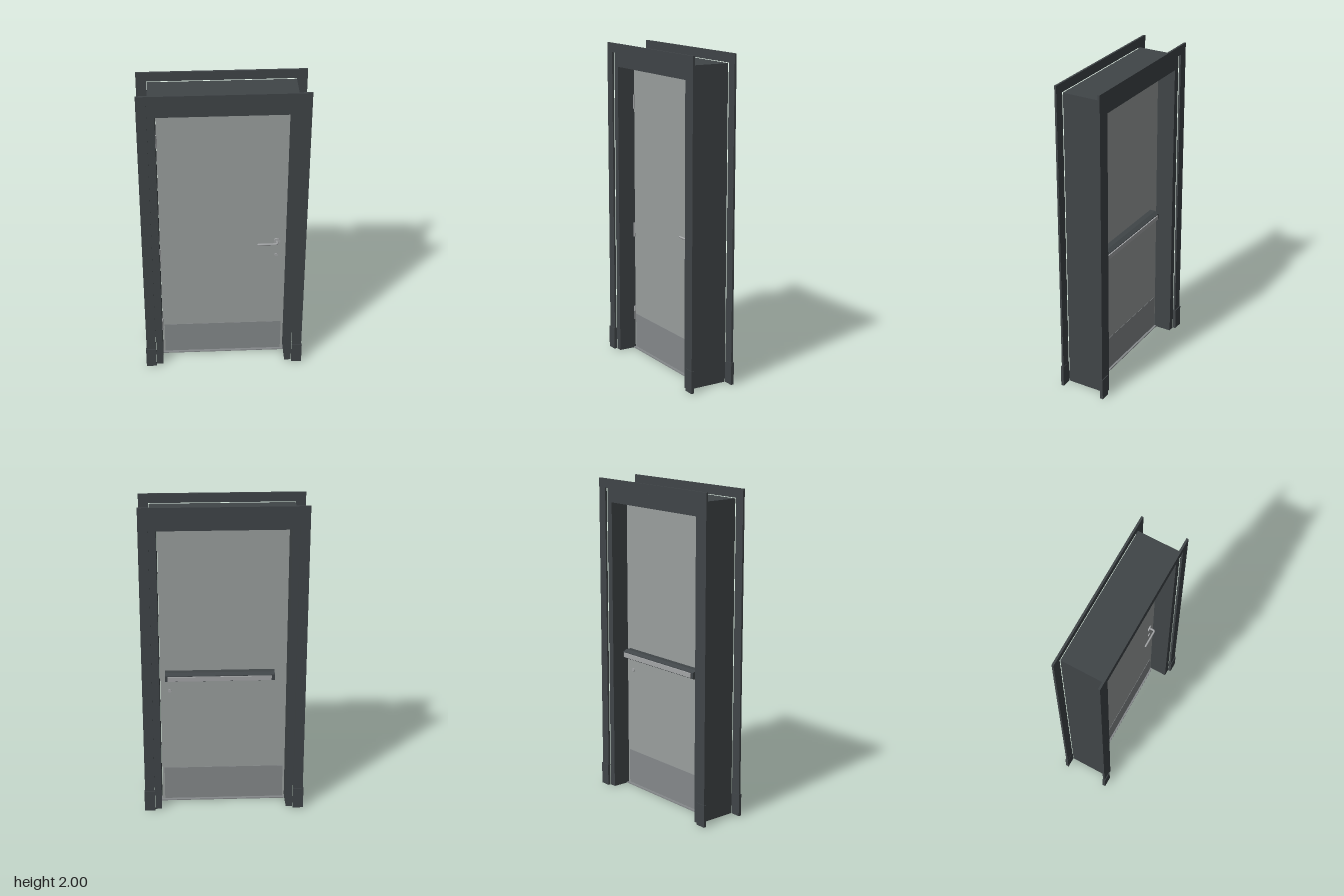
import * as THREE from 'three';

const paint = (color) => new THREE.MeshStandardMaterial({ color });

export function createModel() {
  const model = new THREE.Group();
  const dark = paint(0x404548);
  const panel = paint(0x9a9f9e);
  const plate = paint(0x85898b);
  const steel = paint(0xa4a6a8);

  const add = (name, geometry, material, x = 0, y = 0, z = 0, parent = model) => {
    const mesh = new THREE.Mesh(geometry, material);
    mesh.name = name;
    mesh.position.set(x, y, z);
    parent.add(mesh);
    return mesh;
  };
  const box = (name, material, x0, x1, y0, y1, z0, z1, parent) =>
    add(name, new THREE.BoxGeometry(x1 - x0, y1 - y0, z1 - z0), material,
      (x0 + x1) / 2, (y0 + y1) / 2, (z0 + z1) / 2, parent);
  // Disc or rod lying along z
  const disc = (name, radius, z0, z1, x, y, parent) => {
    const mesh = add(name, new THREE.CylinderGeometry(radius, radius, z1 - z0, 32), steel,
      x, y, (z0 + z1) / 2, parent);
    mesh.rotation.x = Math.PI / 2;
    return mesh;
  };
  // Upside-down U standing on the floor, extruded along z
  const portal = (name, outerX, outerTop, innerX, innerTop, z0, z1) => {
    const shape = new THREE.Shape([
      [-outerX, 0], [-innerX, 0], [-innerX, innerTop], [innerX, innerTop],
      [innerX, 0], [outerX, 0], [outerX, outerTop], [-outerX, outerTop],
    ].map(([x, y]) => new THREE.Vector2(x, y)));
    const geometry = new THREE.ExtrudeGeometry(shape, { depth: z1 - z0, bevelEnabled: false });
    return add(name, geometry, dark, 0, 0, z0);
  };

  // Deep jamb, with thin casings standing just clear of both faces
  portal('jamb', 0.437, 1.94, 0.395, 1.855, -0.132, 0.132);
  portal('frontCasing', 0.5, 2, 0.44, 1.943, 0.1345, 0.147);
  portal('backCasing', 0.5, 2, 0.44, 1.943, -0.147, -0.1345);

  // Plinth blocks at the foot of each casing
  for (const sx of [-1, 1]) {
    for (const sz of [-1, 1]) {
      add('plinthBlock', new THREE.BoxGeometry(0.065, 0.14, 0.019), dark,
        sx * 0.4715, 0.07, sz * 0.1425);
    }
  }

  // Threshold
  box('threshold', plate, -0.395, 0.395, 0, 0.006, -0.03, 0.03);

  // Door leaf with a kick plate on each side
  const door = new THREE.Group();
  door.name = 'door';
  model.add(door);
  const face = 0.018;
  box('leaf', panel, -0.392, 0.39, 0.01, 1.848, -face, face, door);
  box('frontKickPlate', plate, -0.38, 0.375, 0.012, 0.235, face, face + 0.002, door);
  box('backKickPlate', plate, -0.38, 0.375, 0.012, 0.235, -face - 0.002, -face, door);

  // Hinge knuckles on the front
  for (const y of [0.24, 0.8, 1.63]) {
    add('hinge', new THREE.CylinderGeometry(0.005, 0.005, 0.09, 16), steel, -0.392, y, face + 0.004, door);
  }

  // Lever handle: rose, neck and grip
  const lever = new THREE.Group();
  lever.name = 'leverHandle';
  door.add(lever);
  disc('rose', 0.02, face, face + 0.008, 0.335, 0.887, lever);
  const grip = new THREE.CurvePath();
  const bend = (x, z) => new THREE.Vector3(x, 0.887, z);
  grip.add(new THREE.LineCurve3(bend(0.335, face), bend(0.335, 0.045)));
  grip.add(new THREE.QuadraticBezierCurve3(bend(0.335, 0.045), bend(0.335, 0.056), bend(0.324, 0.056)));
  grip.add(new THREE.LineCurve3(bend(0.324, 0.056), bend(0.216, 0.056)));
  add('grip', new THREE.TubeGeometry(grip, 40, 0.006, 12), steel, 0, 0, 0, lever);
  add('gripEnd', new THREE.SphereGeometry(0.006, 12, 8), steel, 0.216, 0.887, 0.056, lever);

  // Lock cylinder on both faces
  disc('frontLock', 0.011, face, face + 0.006, 0.333, 0.78, door);
  disc('backLock', 0.011, -face - 0.006, -face, 0.333, 0.78, door);

  // Panic bar across the back: tapered housing with a bright push pad
  const bar = new THREE.Group();
  bar.name = 'panicBar';
  door.add(bar);
  const profile = new THREE.Shape([
    [0, -0.03], [0.035, -0.03], [0.06, -0.018], [0.06, 0.018], [0.035, 0.03], [0, 0.03],
  ].map(([x, y]) => new THREE.Vector2(x, y)));
  const housing = add('housing',
    new THREE.ExtrudeGeometry(profile, { depth: 0.675, bevelEnabled: false }), dark,
    0.36, 0.887, -face, bar);
  // Profile x becomes -z and the extrusion runs towards -x
  housing.rotation.y = Math.PI / 2;
  housing.position.x = -0.315;
  box('pushPad', steel, -0.295, 0.345, 0.873, 0.901, -face - 0.068, -face - 0.058, bar);

  return model;
}
